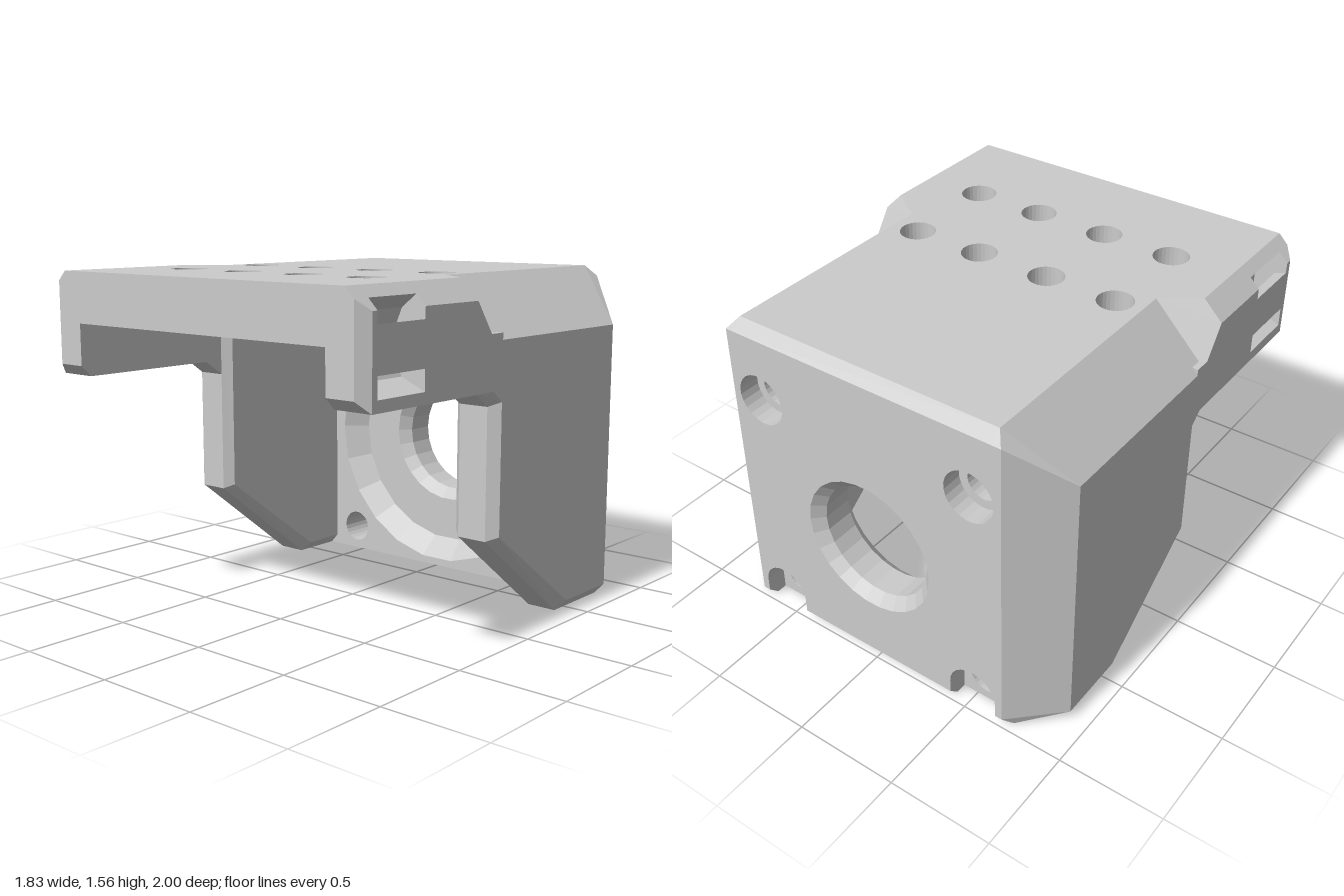
import * as THREE from 'three';
import { ConvexGeometry } from 'three/addons/geometries/ConvexGeometry.js';

const V = (x, y, z) => new THREE.Vector3(x, y, z);
const HOLE_X = 0.545, HOLE_LOW = 0.12, HOLE_HIGH = 1.21, BORE_Y = 0.665;

export function createModel() {
  const group = new THREE.Group();
  const mat = new THREE.MeshStandardMaterial({ color: 0xcccccc, flatShading: true });
  const thin = new THREE.MeshStandardMaterial({ color: 0xcccccc, flatShading: true, side: THREE.DoubleSide });

  const add = (name, geo, m = mat) => {
    const mesh = new THREE.Mesh(geo, m);
    mesh.name = name;
    group.add(mesh);
    return mesh;
  };
  // convex solid from corner points, mirrored in x by s
  const hull = (name, pts, s = 1) =>
    add(name, new ConvexGeometry(pts.map(([x, y, z]) => V(x * s, y, z))));
  // outline in x/y pushed along z from z0 to z1
  const slab = (name, shape, z0, z1) => {
    const g = new THREE.ExtrudeGeometry(shape, { depth: z1 - z0, bevelEnabled: false });
    return add(name, g.translate(0, 0, z0));
  };
  const outline = (pts, s = 1) => new THREE.Shape(pts.map(([x, y]) => new THREE.Vector2(x * s, y)));
  // regular polygon with a flat side on top
  const round = (cx, cy, r, n) => {
    const p = [];
    for (let i = 0; i < n; i++) {
      const a = Math.PI / 2 + ((i + 0.5) / n) * Math.PI * 2;
      p.push(new THREE.Vector2(cx + r * Math.cos(a), cy + r * Math.sin(a)));
    }
    return new THREE.Path(p);
  };

  // Back plate, built in layers with their own hole sizes
  const plateLayer = (z0, z1, w, yLow, yTop, boreR, boreN, cornerR, slotted) => {
    const pts = [[-w, yLow]];
    if (slotted) {
      for (const cx of [-HOLE_X, HOLE_X]) {
        pts.push([cx - cornerR, yLow]);
        for (let i = 0; i <= 12; i++) {
          const a = Math.PI * (1 - i / 12);
          pts.push([cx + cornerR * Math.cos(a), HOLE_LOW + cornerR * Math.sin(a)]);
        }
        pts.push([cx + cornerR, yLow]);
      }
    }
    pts.push([w, yLow], [w, yTop], [-w, yTop]);
    const shape = outline(pts);
    shape.holes.push(round(0, BORE_Y, boreR, boreN));
    for (const cx of [-HOLE_X, HOLE_X]) {
      shape.holes.push(round(cx, HOLE_HIGH, cornerR, 24));
      if (!slotted) shape.holes.push(round(cx, HOLE_LOW, cornerR, 24));
    }
    slab('backPlate', shape, z0, z1);
  };
  plateLayer(-1, -0.95, 0.7, 0.05, 1.51, 0.33, 26, 0.12, true);
  plateLayer(-0.95, -0.9, 0.73, 0, 1.34, 0.28, 26, 0.12, true);
  plateLayer(-0.9, -0.81, 0.73, 0, 1.34, 0.28, 26, 0.078, false);
  plateLayer(-0.81, -0.76, 0.73, 0, 1.34, 0.33, 26, 0.078, false);
  plateLayer(-0.76, -0.67, 0.73, 0, 1.34, 0.635, 22, 0.078, false);

  // Sloped rims of the bore and of the round recess
  const cone = (name, z0, z1, r0, r1, n) => {
    const g = new THREE.CylinderGeometry(r1, r0, z1 - z0, n, 1, true);
    g.rotateY(Math.PI / n).rotateX(Math.PI / 2);
    add(name, g.translate(0, BORE_Y, (z0 + z1) / 2), thin);
  };
  cone('boreRimBack', -1, -0.95, 0.33, 0.28, 26);
  cone('boreRimFront', -0.81, -0.76, 0.28, 0.33, 26);
  cone('recessRim', -0.76, -0.67, 0.54, 0.635, 22);
  // Recess floor beyond the foot of the sloped rim is the layer behind it

  // Chamfers along the back's lower and upper edges
  for (const [x0, x1] of [[-0.72, -0.665], [-0.425, 0.425], [0.665, 0.72]]) {
    const pts = [];
    for (const x of [x0, x1])
      pts.push([x * (Math.abs(x) > 0.7 ? 0.972 : 1), 0.05, -1], [x, 0, -0.95], [x, 0.05, -0.95]);
    hull('lowerChamfer', pts);
  }
  const upper = [];
  for (const x of [-0.66, 0.66]) upper.push([x, 1.51, -1], [x, 1.56, -0.95], [x, 1.51, -0.95]);
  hull('upperChamfer', upper);

  // Top plate with two rows of holes
  const top = outline([[-0.66, -1], [0.66, -1], [0.66, 0.95], [-0.66, 0.95]]);
  for (const z of [0.055, 0.525])
    for (const x of [-0.53, -0.18, 0.18, 0.53]) top.holes.push(round(x, -z, 0.083, 28));
  const topGeo = new THREE.ExtrudeGeometry(top, { depth: 0.23, bevelEnabled: false });
  add('topPlate', topGeo.rotateX(-Math.PI / 2).translate(0, 1.33, 0));

  // Cross-sections of the front arm's edge
  const plain = [[0.66, 1.33], [0.66, 1.56], [0.825, 1.56], [0.915, 1.47], [0.915, 1.09], [0.73, 1.09], [0.73, 1.33]];
  const channel = [[0.66, 1.33], [0.66, 1.56], [0.825, 1.56], [0.87, 1.515], [0.8, 1.46], [0.765, 1.38],
    [0.765, 1.26], [0.8, 1.19], [0.915, 1.14], [0.915, 1.09], [0.73, 1.09], [0.73, 1.33]];
  const bridge = [[0.915, 1.42], [0.915, 1.23], [0.86, 1.25], [0.835, 1.29], [0.835, 1.36], [0.86, 1.4]];

  for (const s of [1, -1]) {
    // Side wall with chamfered edges
    hull('sideWall', [
      [0.69, 0.05, -1], [0.69, 0.045, -0.45], [0.69, 0.46, 0.11], [0.69, 1.4, 0.11], [0.69, 1.51, -1],
      [0.73, 0, -0.95], [0.73, 0, -0.42], [0.73, 0.44, 0.15], [0.73, 1.33, 0.15],
      [0.7, 0.05, -1], [0.7, 1.51, -1],
      [0.87, 0, -0.78], [0.87, 0, -0.42], [0.87, 0.44, 0.15], [0.87, 1.33, 0.15],
      [0.915, 0.05, -0.79], [0.915, 0.05, -0.45], [0.915, 0.46, 0.11], [0.915, 1.3, 0.11], [0.915, 1.3, -0.79],
    ], s);
    // Broad slope along the roof's side
    hull('roofSlope', [
      [0.66, 1.56, -0.95], [0.66, 1.56, 0.17], [0.66, 1.33, -1], [0.66, 1.33, 0.17], [0.66, 1.51, -1],
      [0.7, 1.51, -1], [0.7, 1.33, -1], [0.915, 1.3, -0.79], [0.915, 1.3, 0.17],
    ], s);
    // Step from the broad slope to the narrow one
    hull('roofStep', [
      [0.66, 1.56, 0.17], [0.66, 1.33, 0.17], [0.915, 1.3, 0.17],
      [0.66, 1.33, 0.29], [0.66, 1.56, 0.29], [0.825, 1.56, 0.29], [0.915, 1.47, 0.29], [0.915, 1.3, 0.29],
    ], s);
    // Lip under the arm and its gusset to the wall
    slab('lipRear', outline([[0.73, 1.09], [0.915, 1.09], [0.915, 1.33], [0.73, 1.33]], s), 0.17, 0.29);
    hull('lipGusset', [
      [0.73, 1.02, 0.15], [0.87, 1.02, 0.15], [0.73, 1.09, 0.25], [0.87, 1.09, 0.25],
      [0.915, 1.09, 0.17], [0.915, 1.04, 0.11], [0.915, 1.33, 0.11], [0.915, 1.33, 0.17],
      [0.73, 1.04, 0.14], [0.73, 1.33, 0.14], [0.73, 1.33, 0.25],
    ], s);
    // Arm edge, with a curved strap channel near the front
    slab('armEdge', outline(plain, s), 0.29, 0.635);
    slab('armEdgeChannel', outline(channel, s), 0.635, 0.92);
    slab('channelBridge', outline(bridge, s), 0.635, 0.92);
    slab('armEdge', outline(plain, s), 0.92, 0.95);
    // Chamfered front end of the arm
    hull('armNose', [
      ...plain.slice(0, 4).map(([x, y]) => [x, y, 0.95]), [0.915, 1.33, 0.95],
      [0.66, 1.33, 1], [0.66, 1.56, 1], [0.825, 1.56, 1], [0.87, 1.515, 1], [0.87, 1.33, 1],
    ], s);
    hull('lipNose', [
      [0.73, 1.09, 0.95], [0.915, 1.09, 0.95], [0.73, 1.33, 0.95], [0.915, 1.33, 0.95],
      [0.73, 1.14, 1], [0.87, 1.14, 1], [0.73, 1.33, 1], [0.87, 1.33, 1],
    ], s);
  }
  return group;
}
